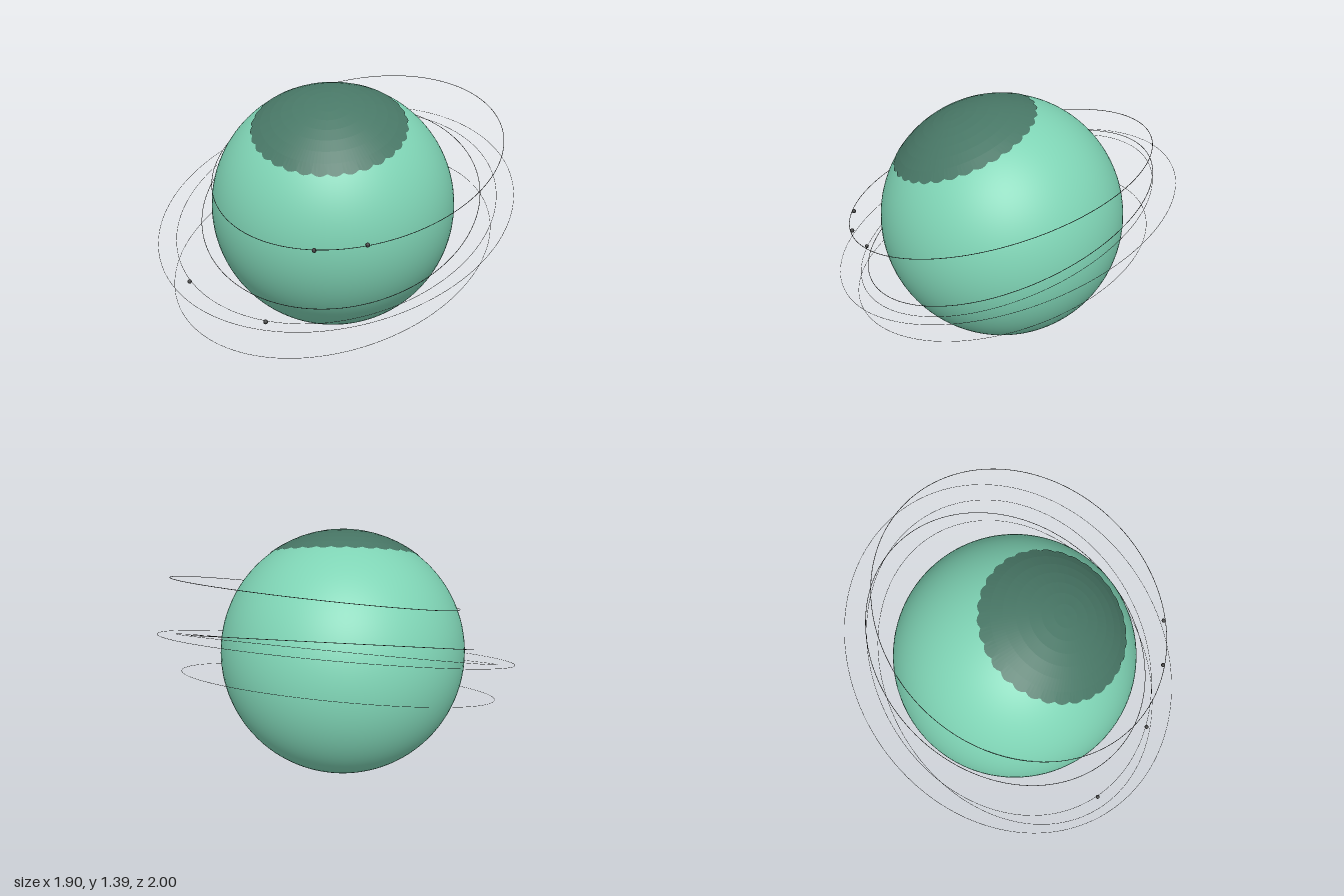
import * as THREE from 'three';

const mat = (color, extra = {}) => new THREE.MeshStandardMaterial({ color, ...extra });
const CENTRE = new THREE.Vector3(-0.025, 0.695, 0);
const R = 0.695;

// Tilted elliptical orbit: centre, half widths in x and z, skew, slopes of its plane
class Orbit extends THREE.Curve {
  constructor(o) { super(); this.o = o; }
  getPoint(t, target = new THREE.Vector3()) {
    const { c, hx, hz, skew, a, b } = this.o;
    const ang = t * Math.PI * 2;
    const dx = hx * Math.cos(ang + skew), dz = hz * Math.sin(ang);
    return target.set(c[0] + dx, c[1] + a * dx + b * dz, c[2] + dz);
  }
}

const ORBITS = [
  { name: 'upperOrbit', c: [0.115, 1.03, -0.055], hx: 0.785, hz: 0.828, skew: 0, a: -0.127, b: -0.307, tube: 0.0016 },
  { name: 'innerOrbit', c: [0.005, 0.75, -0.037], hx: 0.775, hz: 0.815, skew: 0, a: -0.25, b: -0.34, tube: 0.0016 },
  { name: 'middleOrbit', c: [0, 0.70, 0], hx: 0.848, hz: 0.885, skew: 0.11, a: -0.21, b: -0.37, tube: 0.001 },
  { name: 'lowerOrbit', c: [0.005, 0.475, 0.027], hx: 0.825, hz: 0.908, skew: 0.1, a: -0.157, b: -0.33, tube: 0.001 },
  { name: 'outerOrbit', c: [0, 0.71, 0], hx: 0.948, hz: 1, skew: 0.075, a: -0.172, b: -0.322, tube: 0.001 },
];

const SATELLITES = [[0.52, 0.755, 0.645], [0.71, 0.79, 0.47], [-0.22, 0.417, 0.88], [0.31, 0.342, 0.79]];

// Polar cap: thin shell over the globe with a scalloped rim
function capGeometry(scallops = 32, rings = 7) {
  const across = scallops * 4, r = R + 0.003;
  const g = new THREE.SphereGeometry(r, across, rings, 0, Math.PI * 2, 0, 0.65);
  const p = g.attributes.position;
  for (let i = 0; i <= across; i++) {
    const phi = (i / across) * Math.PI * 2;
    const theta = 0.635 + 0.022 * Math.abs(Math.sin(phi * scallops / 2));
    const k = rings * (across + 1) + i;
    p.setXYZ(k, -r * Math.cos(phi) * Math.sin(theta), r * Math.cos(theta), r * Math.sin(phi) * Math.sin(theta));
  }
  g.computeVertexNormals();
  return g;
}

export function createModel() {
  const model = new THREE.Group();
  model.name = 'planetWithOrbits';
  const add = (name, geometry, material) => {
    const mesh = new THREE.Mesh(geometry, material);
    mesh.name = name;
    model.add(mesh);
    return mesh;
  };

  // Globe and its tilted cap
  add('planet', new THREE.SphereGeometry(R, 96, 64), mat(0x7fd4b5)).position.copy(CENTRE);
  const cap = add('polarCap', capGeometry(), mat(0x487766, { flatShading: true, side: THREE.DoubleSide }));
  cap.position.copy(CENTRE);
  cap.quaternion.setFromUnitVectors(
    new THREE.Vector3(0, 1, 0), new THREE.Vector3(0.245, 0.928, 0.281).normalize());

  // Fine orbit lines
  const dark = mat(0x404040);
  for (const o of ORBITS) {
    add(o.name, new THREE.TubeGeometry(new Orbit(o), 200, o.tube, 5, true), dark);
  }

  // Satellites riding on the orbits
  SATELLITES.forEach((p, i) => {
    add(`satellite${i + 1}`, new THREE.SphereGeometry(0.012, 10, 8), dark).position.set(...p);
  });
  return model;
}
